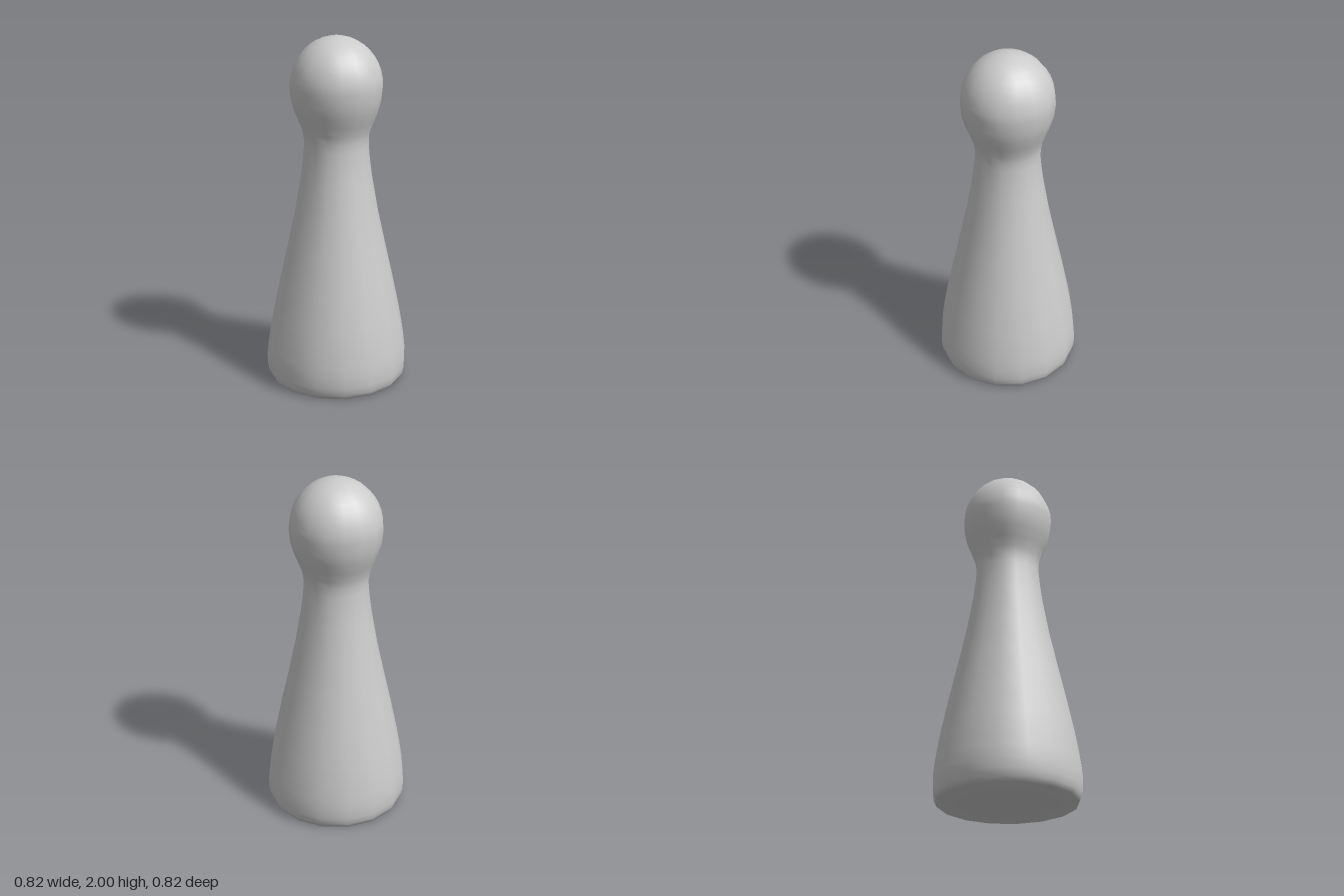
import * as THREE from 'three';

const SIDES = 16;

export function createModel() {
  const group = new THREE.Group();
  group.name = 'pawn';
  const material = new THREE.MeshStandardMaterial({ color: 0xcccccc });

  // Lower rim, tapering body, neck and round head: one smooth turned profile
  const profile = [
    [0.265, 0], [0.385, 0], [0.4, 0.03], [0.407, 0.07], [0.408, 0.13], [0.401, 0.2],
    [0.386, 0.3], [0.368, 0.4], [0.326, 0.6], [0.281, 0.8], [0.238, 1.0],
    [0.203, 1.2], [0.19, 1.3], [0.183, 1.38], [0.183, 1.43], [0.191, 1.475],
    [0.212, 1.53], [0.236, 1.59], [0.252, 1.65],
  ].map(([r, y]) => new THREE.Vector2(r, y));
  // Upper half of the head
  const capSteps = 10;
  for (let i = 0; i <= capSteps; i++) {
    const a = (i / capSteps) * Math.PI / 2;
    profile.push(new THREE.Vector2(i === capSteps ? 0 : 0.26 * Math.cos(a), 1.72 + 0.28 * Math.sin(a)));
  }
  const body = new THREE.Mesh(new THREE.LatheGeometry(profile, SIDES), material);
  body.name = 'body';
  group.add(body);

  // Flat disc closing the underside
  const base = new THREE.Mesh(new THREE.CircleGeometry(0.265, SIDES), material);
  base.name = 'baseDisc';
  base.rotation.x = Math.PI / 2;
  group.add(base);

  return group;
}
